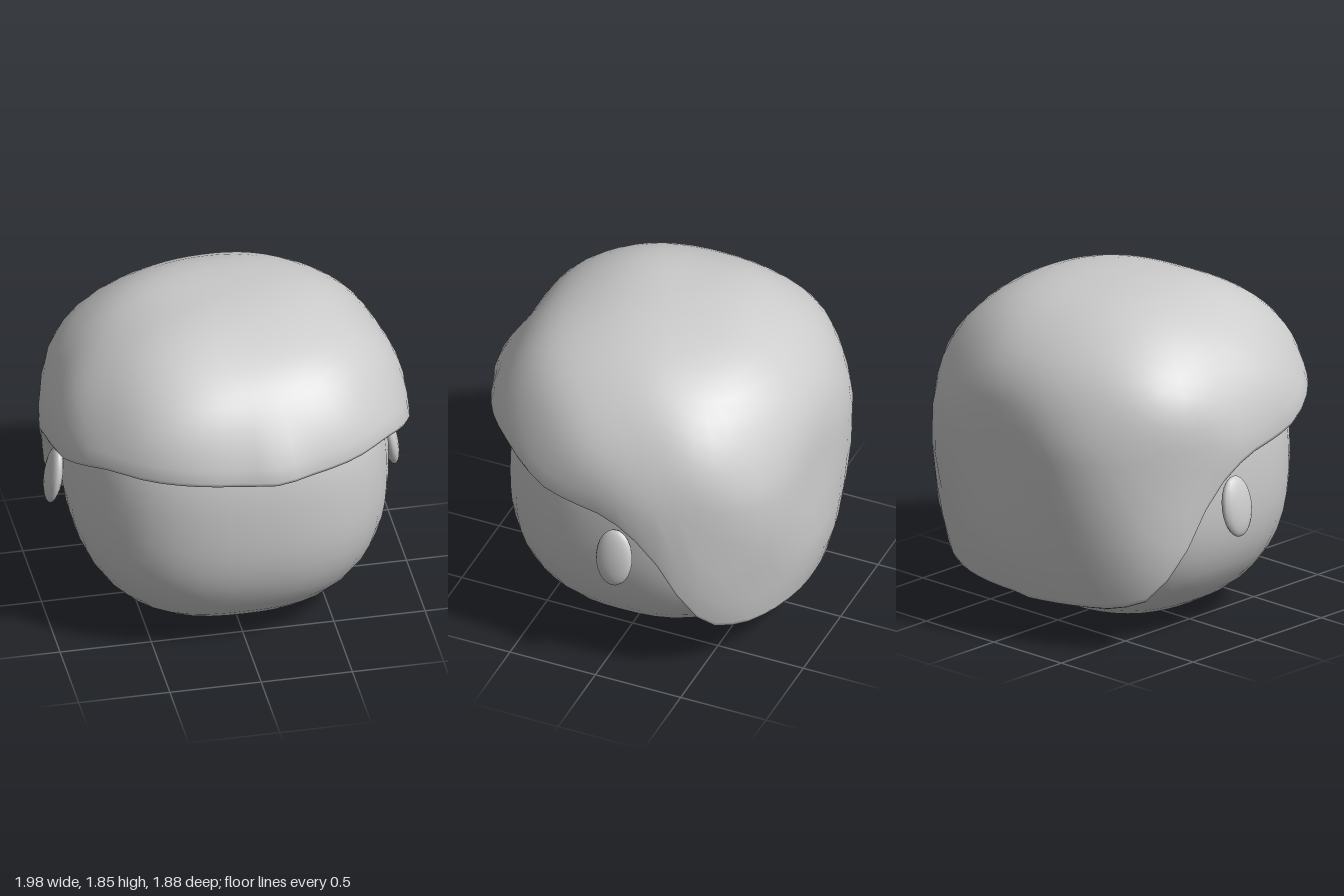
import * as THREE from 'three';
import { mergeVertices } from 'three/addons/utils/BufferGeometryUtils.js';

const N = 2.5;                                   // squareness of the head
const HEAD = { x: 0.87, y: 0.85, z: 0.81 };

// radius of a squarish ellipse with half-widths rx, rz in direction a (0 = front)
const ringRadius = (a, rx, rz, n) =>
  (Math.abs(Math.sin(a) / rx) ** n + Math.abs(Math.cos(a) / rz) ** n) ** (-1 / n);

// horizontal radius of the head at azimuth a and height y
function headRadius(a, y) {
  const h = Math.min(1, Math.abs(y - HEAD.y) / HEAD.y);
  return ringRadius(a, HEAD.x, HEAD.z, N) * (1 - h ** N) ** (1 / N);
}

// hairline height by angle from the front, in degrees
const HAIRLINE = [[0, 1.19], [25, 1.205], [49, 1.215], [60, 1.17], [72, 1.1], [90, 1.05], [99, 0.99],
  [107, 0.85], [113, 0.66], [119, 0.46], [127, 0.31], [138, 0.25], [160, 0.24], [180, 0.23]];
function hairline(a) {
  const d = Math.abs(THREE.MathUtils.radToDeg(a));
  let k = 0;
  while (k < HAIRLINE.length - 2 && d > HAIRLINE[k + 1][0]) k++;
  const [d0, y0] = HAIRLINE[k], [d1, y1] = HAIRLINE[k + 1];
  return y0 + (y1 - y0) * (d - d0) / (d1 - d0) + (a < 0 && d > 125 ? -0.02 : 0);
}

function headGeometry() {
  const g = new THREE.SphereGeometry(1, 40, 28);
  const p = g.attributes.position, v = new THREE.Vector3();
  for (let i = 0; i < p.count; i++) {
    v.fromBufferAttribute(p, i);
    const s = (Math.abs(v.x) ** N + Math.abs(v.y) ** N + Math.abs(v.z) ** N) ** (-1 / N);
    p.setXYZ(i, v.x * s * HEAD.x, HEAD.y + v.y * s * HEAD.y, v.z * s * HEAD.z);
  }
  g.deleteAttribute('uv');
  g.deleteAttribute('normal');
  const m = mergeVertices(g, 1e-4);
  m.computeVertexNormals();
  return m;
}

// one point on the outside of the hair; t runs from the crown downwards
const MID = 1.0, UP = 0.85, DOWN = 1.47, HN = 2.4;
function hairPoint(a, t) {
  const c = Math.cos(t);
  const dy = Math.sign(c) * Math.abs(c) ** (2 / HN) * (c > 0 ? UP : DOWN);
  const r = ringRadius(a, 0.985, Math.abs(a) < Math.PI / 2 ? 0.94 : 0.925, HN) * Math.sin(t) ** (2 / HN);
  const p = new THREE.Vector3(r * Math.sin(a), dy, r * Math.cos(a));
  // soft lumps
  const lump = 0.012 * Math.sin(6 * p.x + 1) * Math.sin(5 * p.y + 2 * p.z)
    + 0.01 * Math.sin(9 * p.z + 4 * p.x) * Math.cos(7 * p.y);
  p.x *= 1 + lump;
  p.z *= 1 + lump;
  p.y *= 1 + lump * 0.5;
  // small forward tuft over the brow
  if (p.z > 0) p.z += 0.04 * Math.exp(-(((p.x - 0.13) / 0.12) ** 2) - ((p.y - 0.25) / 0.25) ** 2);
  p.y += MID;
  return p;
}

function hairGeometry() {
  const cols = 56, rows = 16, pos = [], index = [];
  // lip under the hair edge: [share of the way in to the head, height above the hairline]
  const lip = [[0.08, 0.018], [0.25, 0.003], [0.55, 0], [1, 0.015], [1.25, 0.06]];
  const total = rows + lip.length;
  pos.push(0, MID + UP, 0);
  for (let i = 1; i <= total; i++) {
    for (let j = 0; j < cols; j++) {
      let a = (j / cols) * Math.PI * 2;
      if (a > Math.PI) a -= Math.PI * 2;
      const low = hairline(a), edge = low + 0.045;
      const h = (edge - MID) / (edge > MID ? UP : DOWN);
      const tEdge = Math.acos(Math.sign(h) * Math.abs(h) ** (HN / 2));
      const p = hairPoint(a, tEdge * Math.min(1, i / rows));
      if (i > rows) {
        const [inward, rise] = lip[i - rows - 1];
        const outer = Math.hypot(p.x, p.z);
        const r = outer + (headRadius(a, low) * 0.985 - outer) * inward;
        p.set(p.x * r / outer, low + rise, p.z * r / outer);
      }
      pos.push(p.x, p.y, p.z);
    }
  }
  const id = (i, j) => 1 + (i - 1) * cols + (j % cols);
  for (let j = 0; j < cols; j++) {
    index.push(0, id(1, j), id(1, j + 1));
    for (let i = 1; i < total; i++) {
      index.push(id(i, j), id(i + 1, j), id(i + 1, j + 1), id(i, j), id(i + 1, j + 1), id(i, j + 1));
    }
  }
  const g = new THREE.BufferGeometry();
  g.setAttribute('position', new THREE.Float32BufferAttribute(pos, 3));
  g.setIndex(index);
  g.computeVertexNormals();
  return g;
}

export function createModel() {
  const group = new THREE.Group();
  const grey = new THREE.MeshStandardMaterial({ color: 0xcccccc });
  grey.name = 'light grey';
  const add = (name, geometry) => {
    const mesh = new THREE.Mesh(geometry, grey);
    mesh.name = name;
    group.add(mesh);
    return mesh;
  };

  add('head', headGeometry());
  add('hair', hairGeometry());

  // flat oval ears, leaning out at the bottom
  for (const side of [1, -1]) {
    const ear = add(side > 0 ? 'leftEar' : 'rightEar', new THREE.SphereGeometry(1, 16, 12));
    ear.scale.set(0.045, 0.168, 0.105);
    ear.position.set(side * 0.92, 0.76, -0.075);
    ear.rotation.z = side * 0.16;
  }
  return group;
}
